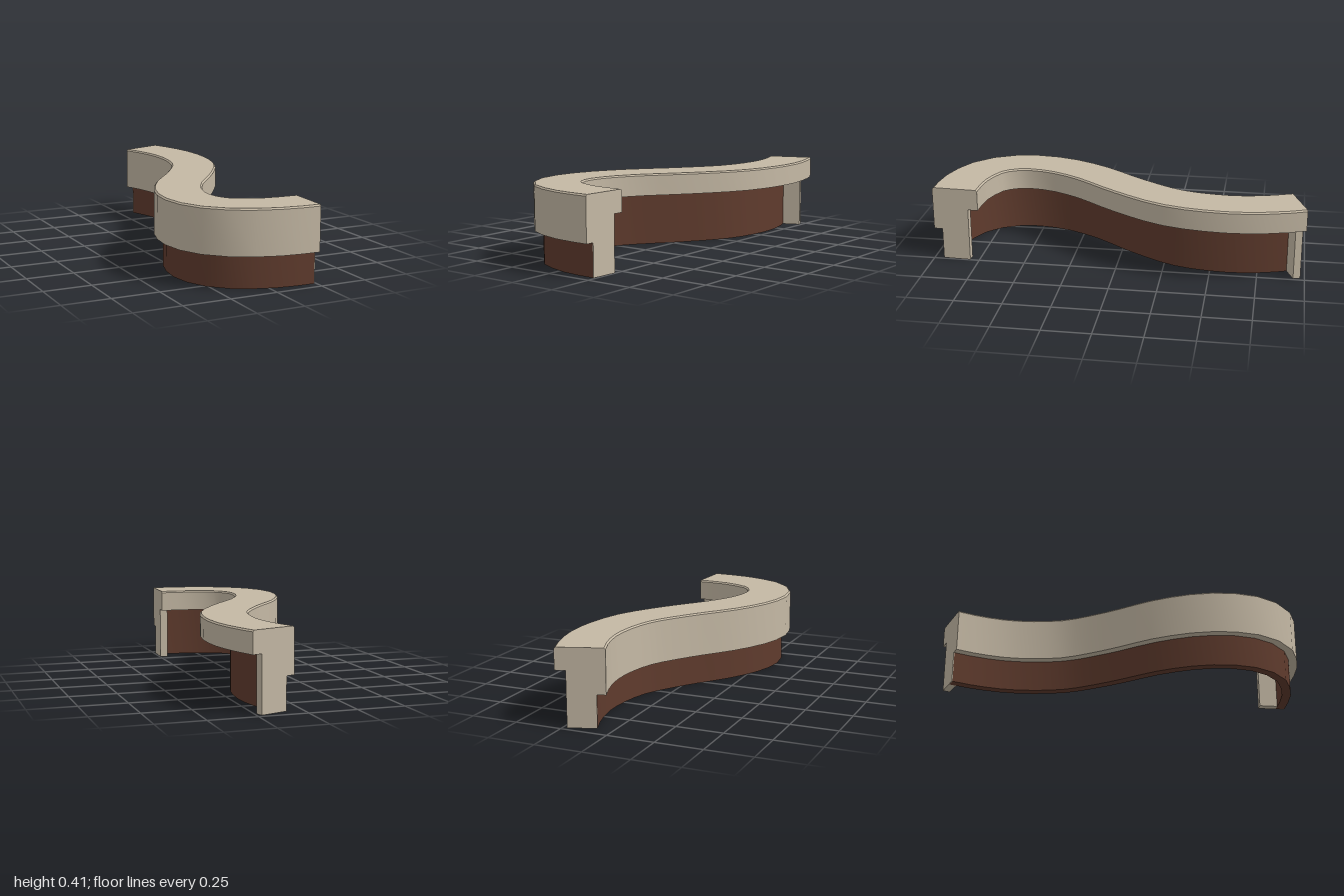
import * as THREE from 'three';

// Plan of the counter's centre line, back end to front end (x, z)
const path = new THREE.CatmullRomCurve3([
  [0.16, -0.955], [0.21, -0.81], [0.24, -0.6], [0.195, -0.305], [0.05, -0.05],
  [-0.135, 0.2], [-0.225, 0.39], [-0.248, 0.55], [-0.225, 0.66], [-0.15, 0.768],
  [0.0, 0.842], [0.11, 0.864], [0.243, 0.87],
].map(([x, z]) => new THREE.Vector3(x, 0, z)));
path.arcLengthDivisions = 800;
const LENGTH = path.getLength();

// Sweeps a counter-clockwise profile (across, up) along part of the path, with sharp profile edges
function sweep(profile, from, to, steps) {
  const rings = [];
  for (let i = 0; i <= steps; i++) {
    const s = THREE.MathUtils.lerp(from, to, i / steps);
    const p = path.getPointAt(s), t = path.getTangentAt(s);
    rings.push(profile.map(([u, y]) => [p.x + t.z * u, y, p.z - t.x * u]));
  }
  const pos = [], index = [];
  // Side strips, one per profile edge
  profile.forEach((_, a) => {
    const b = (a + 1) % profile.length, base = pos.length / 3;
    rings.forEach((r) => pos.push(...r[a], ...r[b]));
    for (let i = 0; i < steps; i++) {
      const k = base + i * 2;
      index.push(k, k + 1, k + 3, k, k + 3, k + 2);
    }
  });
  // End caps
  const tris = THREE.ShapeUtils.triangulateShape(profile.map(([u, y]) => new THREE.Vector2(u, y)), []);
  [rings[0], rings[steps]].forEach((ring, end) => {
    const base = pos.length / 3;
    ring.forEach((v) => pos.push(...v));
    tris.forEach(([a, b, c]) => index.push(base + a, base + (end ? b : c), base + (end ? c : b)));
  });
  const g = new THREE.BufferGeometry();
  g.setAttribute('position', new THREE.Float32BufferAttribute(pos, 3));
  g.setIndex(index);
  g.computeVertexNormals();
  return g;
}

const rect = (u0, u1, y0, y1) => [[u0, y0], [u1, y0], [u1, y1], [u0, y1]];

export function createModel() {
  const group = new THREE.Group();
  group.name = 'curvedCounter';
  const stone = new THREE.MeshStandardMaterial({ color: 0xc4b8a4 });
  stone.name = 'warmStone';
  const wood = new THREE.MeshStandardMaterial({ color: 0x5f3b2d });
  wood.name = 'darkWood';

  const add = (name, geometry, material) => {
    const mesh = new THREE.Mesh(geometry, material);
    mesh.name = name;
    group.add(mesh);
  };

  const outer = -0.125, inner = 0.125, wallOut = -0.079, wallIn = -0.03, panelIn = 0.07;
  const slabBottom = 0.29, top = 0.405, bevel = 0.008;

  // Worktop with a deep skirt on the outer side
  add('worktop', sweep([
    [outer, 0.17], [wallOut, 0.17], [wallOut, slabBottom], [inner, slabBottom],
    [inner, top - bevel], [inner - bevel, top], [outer + bevel, top], [outer, top - bevel],
  ], 0, 1, 24), stone);

  // Thin wall under the outer half, stopping just short of the end covers
  const cover = 0.004 / LENGTH, thick = 0.042 / LENGTH;
  add('baseWall', sweep(rect(wallOut, wallIn, 0, slabBottom), cover, 1 - cover, 24), wood);

  // End panels: thin cover over the wall end and a thicker support beside it
  [['back', 0, 1], ['front', 1, -1]].forEach(([name, s, dir]) => {
    const span = (d) => (dir > 0 ? [s, s + d] : [s - d, s]);
    add(name + 'EndCover', sweep(rect(wallOut, wallIn, 0, slabBottom), ...span(cover), 1), stone);
    add(name + 'EndPanel', sweep(rect(wallIn, panelIn, 0, slabBottom), ...span(thick), 1), stone);
  });
  return group;
}
